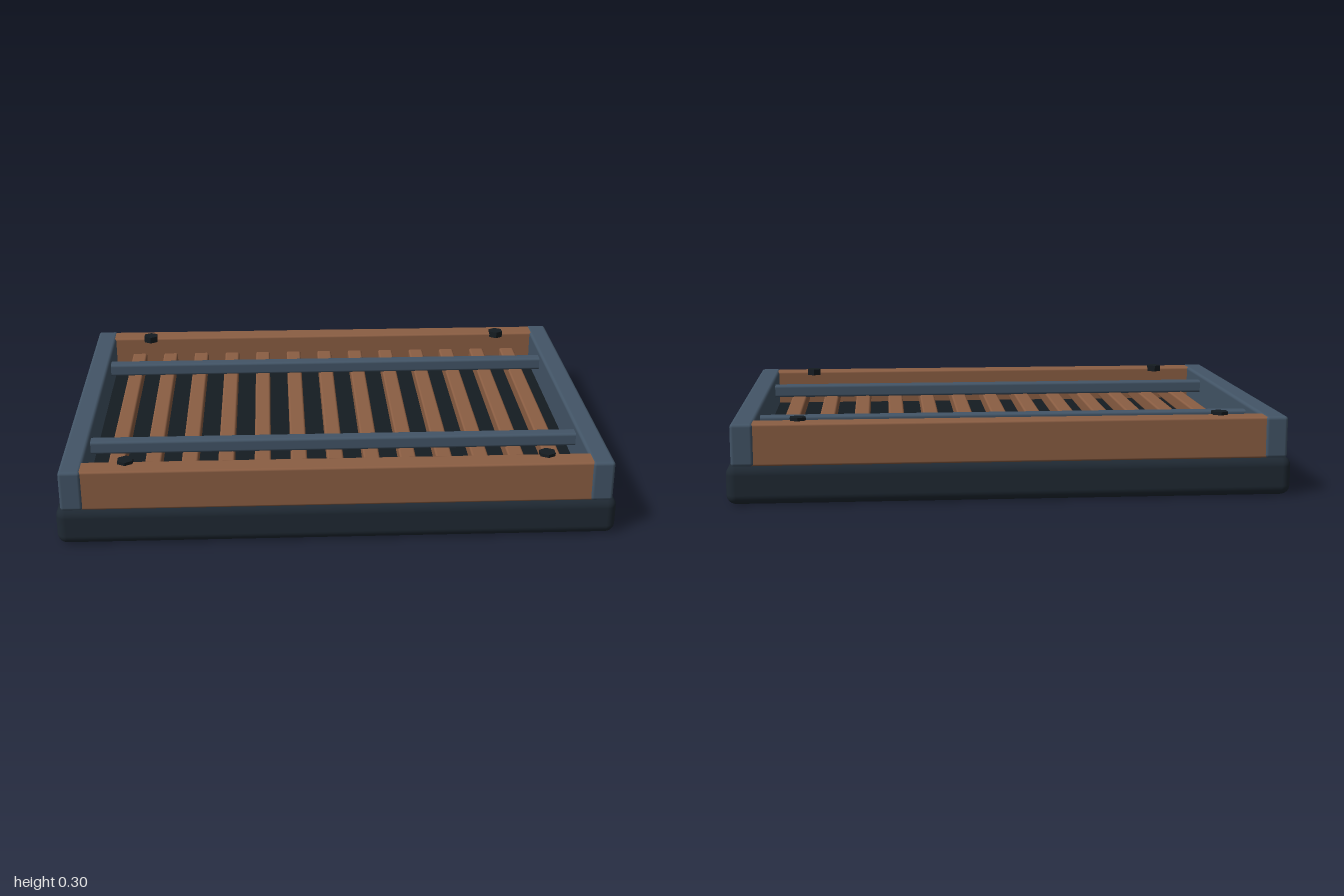
import * as THREE from 'three';
import { RoundedBoxGeometry } from 'three/addons/geometries/RoundedBoxGeometry.js';

const material = (color) => new THREE.MeshStandardMaterial({ color });

export function createModel() {
  const model = new THREE.Group();
  const wood = material(0x8b5e43);
  const slate = material(0x435567);
  const navy = material(0x1f2933);
  const black = material(0x151c21);

  // Softly edged block given by its size and centre
  function block(name, mat, [w, h, d], [x, y, z], radius = 0.008, segments = 2) {
    const mesh = new THREE.Mesh(new RoundedBoxGeometry(w, h, d, segments, radius), mat);
    mesh.name = name;
    mesh.position.set(x, y, z);
    model.add(mesh);
  }

  // Thick rounded base and the dark panel inside the frame
  block('base', navy, [2, 0.14, 1.4], [0, 0.07, 0], 0.035, 4);
  block('floorPanel', black, [1.82, 0.02, 1.24], [0, 0.14, 0], 0.004, 1);

  // Frame: end rails in wood, side rails overlapping their ends
  for (const s of [1, -1]) {
    block(s > 0 ? 'frontRail' : 'backRail', wood, [1.88, 0.148, 0.085], [0, 0.211, s * 0.652]);
    block(s > 0 ? 'leftRail' : 'rightRail', slate, [0.08, 0.15, 1.4], [s * 0.94, 0.212, 0], 0.012);
  }

  // Row of slats running front to back
  const slats = 13;
  for (let i = 0; i < slats; i++) {
    block('slat', wood, [0.06, 0.055, 1.24], [-0.8 + (1.6 * i) / (slats - 1), 0.188, 0]);
  }

  // Two cross bars lying over the slats
  for (const z of [0.375, -0.385]) {
    block('crossBar', slate, [1.82, 0.05, 0.05], [0, 0.238, z], 0.01);
  }

  // Hexagonal bolt heads near the corners
  const boltGeometry = new THREE.CylinderGeometry(0.031, 0.031, 0.025, 6);
  const boltMaterial = black.clone();
  boltMaterial.flatShading = true;
  for (const x of [-0.75, 0.75]) {
    for (const z of [-0.617, 0.617]) {
      const bolt = new THREE.Mesh(boltGeometry, boltMaterial);
      bolt.name = 'bolt';
      bolt.position.set(x, 0.284, z);
      model.add(bolt);
    }
  }

  return model;
}
